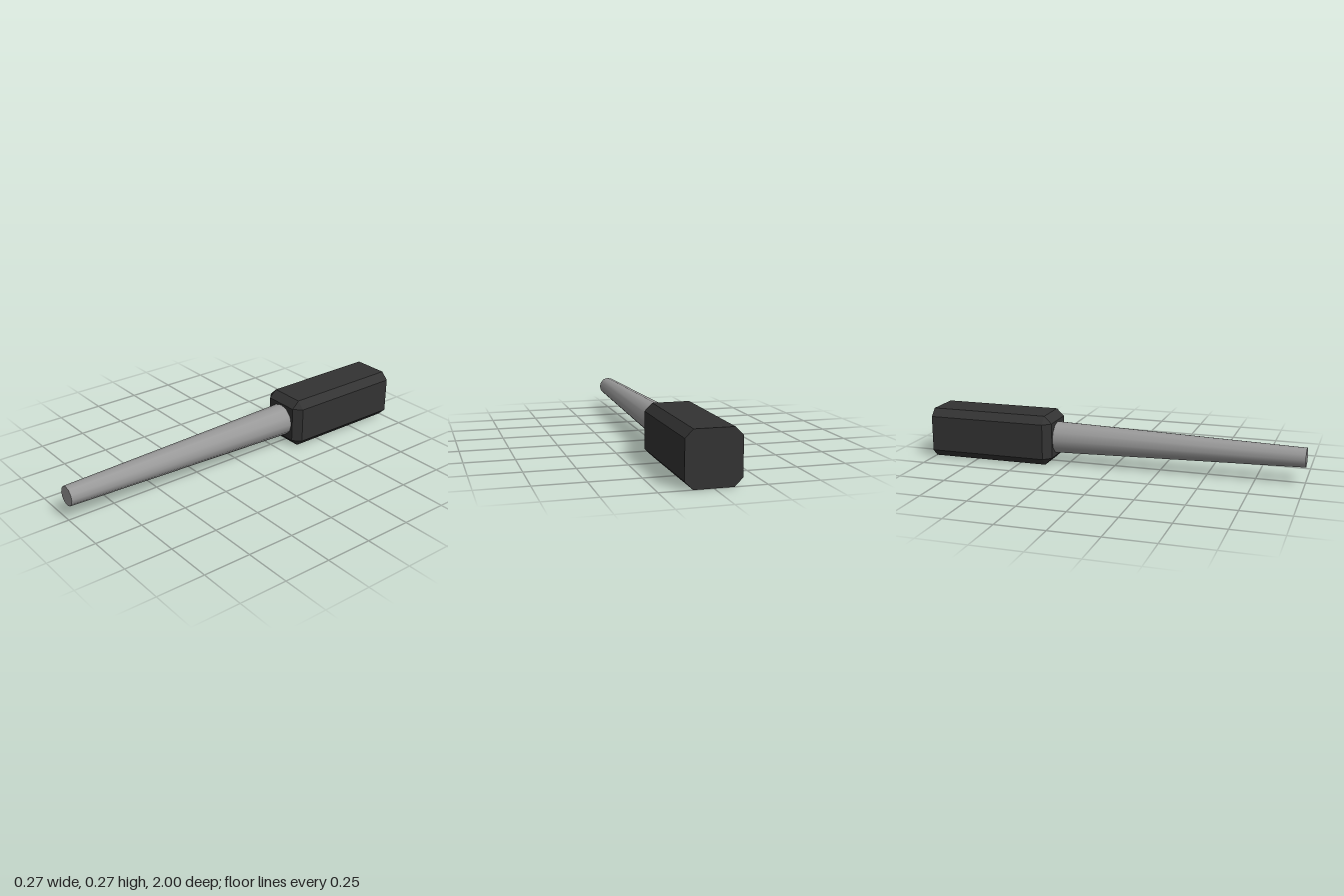
import * as THREE from 'three';
import { ConvexGeometry } from 'three/addons/geometries/ConvexGeometry.js';

export function createModel() {
  const group = new THREE.Group();
  const half = 0.133; // half width of the handle, also the height of the axis
  const inner = 0.094; // half width inside the chamfers

  const darkGrip = new THREE.MeshStandardMaterial({ color: 0x333333 });
  darkGrip.name = 'darkGrip';
  const greyMetal = new THREE.MeshStandardMaterial({ color: 0x999999 });
  greyMetal.name = 'greyMetal';

  // Handle: square bar with chamfered long edges and a chamfered front end
  const points = [];
  for (const sx of [-1, 1]) {
    for (const sy of [-1, 1]) {
      for (const z of [-1, -0.36]) {
        points.push(new THREE.Vector3(sx * half, sy * inner, z));
        points.push(new THREE.Vector3(sx * inner, sy * half, z));
      }
      points.push(new THREE.Vector3(sx * inner, sy * inner, -0.32));
    }
  }
  const handle = new THREE.Mesh(new ConvexGeometry(points), darkGrip);
  handle.name = 'handle';
  handle.position.y = half;
  group.add(handle);

  // Shaft: smooth tapered rod from the handle to the flat tip
  const back = -0.32;
  const shaftGeometry = new THREE.CylinderGeometry(0.051, 0.086, 1 - back, 12);
  shaftGeometry.rotateX(Math.PI / 2);
  const shaft = new THREE.Mesh(shaftGeometry, greyMetal);
  shaft.name = 'shaft';
  shaft.position.set(0, half, (1 + back) / 2);
  group.add(shaft);

  return group;
}
